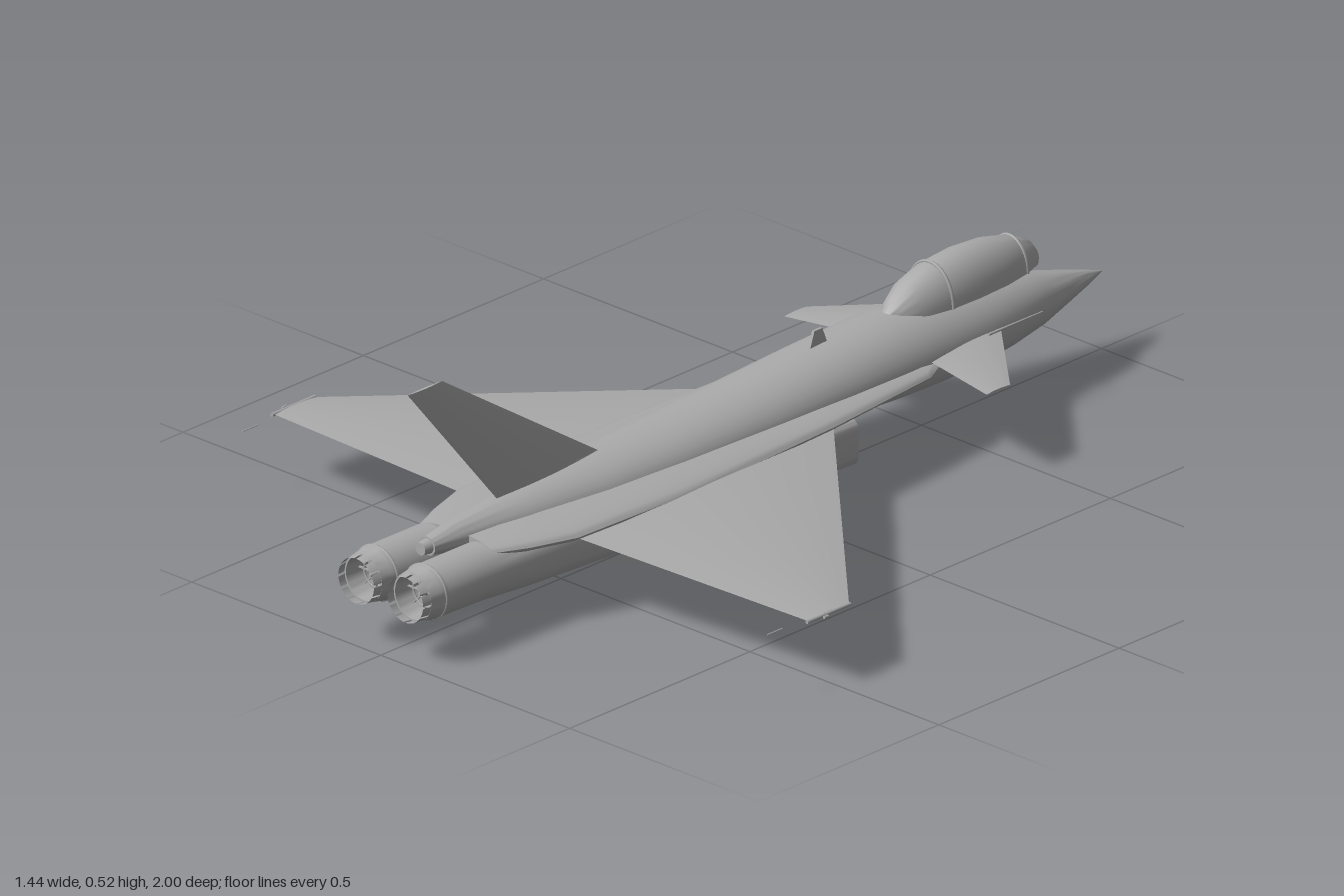
import * as THREE from 'three';
import { toCreasedNormals } from 'three/addons/utils/BufferGeometryUtils.js';

const grey = new THREE.MeshStandardMaterial({ color: 0xaaaaaa, side: THREE.DoubleSide });
grey.name = 'airframe grey';

// Skin a list of closed rings of [x, y, z] points, with flat end caps
function skin(rings, capStart = true, capEnd = true, crease = 0.6) {
  const n = rings[0].length, pos = rings.flat(2), index = [];
  for (let i = 0; i < rings.length - 1; i++) {
    for (let j = 0; j < n; j++) {
      const a = i * n + j, b = i * n + (j + 1) % n;
      index.push(a, b, a + n, b, b + n, a + n);
    }
  }
  const last = (rings.length - 1) * n;
  for (let j = 1; j < n - 1; j++) {
    if (capStart) index.push(0, j + 1, j);
    if (capEnd) index.push(last, last + j, last + j + 1);
  }
  const g = new THREE.BufferGeometry();
  g.setAttribute('position', new THREE.Float32BufferAttribute(pos, 3));
  g.setIndex(index);
  return toCreasedNormals(g, crease);
}

// Superellipse body along z. Section: [z, cx, cy, halfWidth, up, down, power]
function body(sections, capStart = true, capEnd = true) {
  const power = (v, e) => Math.sign(v) * Math.abs(v) ** e;
  return skin(sections.map(([z, cx, cy, a, up, down, p = 2]) =>
    Array.from({ length: 32 }, (_, j) => {
      const t = j / 32 * Math.PI * 2, s = power(Math.sin(t), 2 / p);
      return [cx + a * power(Math.cos(t), 2 / p), cy + s * (s > 0 ? up : down), z];
    })), capStart, capEnd);
}

// Lens-section surface spanning +x. Section: [x, y, zLeading, zTrailing, halfThickness]
function foil(sections) {
  return skin(sections.map(([x, y, z0, z1, h]) =>
    Array.from({ length: 24 }, (_, j) => {
      const t = j / 24 * Math.PI * 2, c = Math.cos(t);
      return [x, y + h * c * Math.abs(c), (z0 + z1) / 2 + Math.sin(t) * (z1 - z0) / 2];
    })));
}

// Rod between two z positions
function rod(r0, r1, x, y, z0, z1, sides = 8) {
  return new THREE.CylinderGeometry(r1, r0, z1 - z0, sides).rotateX(Math.PI / 2).translate(x, y, (z0 + z1) / 2);
}

// Thin upright blade on the centre line, outline given as [z, y]
function blade(points, thickness) {
  const shape = new THREE.Shape(points.map(([z, y]) => new THREE.Vector2(-z, y)));
  return new THREE.ExtrudeGeometry(shape, { depth: thickness, bevelEnabled: false })
    .translate(0, 0, -thickness / 2).rotateY(Math.PI / 2);
}

export function createModel() {
  const model = new THREE.Group();
  const add = (name, geometry, parent = model) => {
    const mesh = new THREE.Mesh(geometry, grey);
    mesh.name = name;
    parent.add(mesh);
    return mesh;
  };

  // Fuselage with pointed nose and tapering spine
  add('fuselage', body([
    [-1, 0, 0.163, 0.001, 0.001, 0.001], [-0.95, 0, 0.164, 0.017, 0.017, 0.016],
    [-0.88, 0, 0.166, 0.037, 0.036, 0.034], [-0.8, 0, 0.168, 0.058, 0.057, 0.055],
    [-0.7, 0, 0.17, 0.079, 0.073, 0.068], [-0.6, 0, 0.172, 0.094, 0.083, 0.076],
    [-0.48, 0, 0.174, 0.103, 0.092, 0.077], [-0.35, 0, 0.174, 0.107, 0.094, 0.07],
    [-0.2, 0, 0.174, 0.108, 0.088, 0.055], [0, 0, 0.174, 0.106, 0.076, 0.05],
    [0.25, 0, 0.174, 0.1, 0.067, 0.05], [0.45, 0, 0.174, 0.088, 0.061, 0.045],
    [0.65, 0, 0.176, 0.062, 0.051, 0.035], [0.8, 0, 0.182, 0.032, 0.035, 0.025],
    [0.87, 0, 0.186, 0.02, 0.02, 0.018],
  ]));
  add('tailFairing', rod(0.017, 0.013, 0, 0.187, 0.86, 0.89, 20));

  // Wide shoulder fairing that carries the wing roots
  add('shoulderFairing', body([
    [-0.6, 0, 0.18, 0.094, 0.008, 0.008], [-0.43, 0, 0.177, 0.112, 0.018, 0.018],
    [-0.39, 0, 0.175, 0.13, 0.022, 0.022], [-0.1, 0, 0.173, 0.155, 0.026, 0.028],
    [0.15, 0, 0.172, 0.165, 0.028, 0.03], [0.35, 0, 0.172, 0.17, 0.028, 0.03],
    [0.62, 0, 0.173, 0.16, 0.026, 0.028], [0.72, 0, 0.174, 0.128, 0.024, 0.026],
    [0.79, 0, 0.176, 0.098, 0.018, 0.02],
  ]));

  // Canopy and its two frames
  const canopy = [
    [-0.81, 0.015, 0.022], [-0.79, 0.032, 0.045], [-0.745, 0.048, 0.066], [-0.68, 0.059, 0.081],
    [-0.6, 0.063, 0.086], [-0.525, 0.061, 0.08], [-0.46, 0.048, 0.062], [-0.42, 0.03, 0.036], [-0.395, 0.008, 0.01],
  ];
  add('canopy', body(canopy.map(([z, w, h]) => [z, 0, 0.254, w, h, 0.004])));
  for (const [z, w, h] of [canopy[2], canopy[5]]) {
    const frame = new THREE.TorusGeometry(1, 0.05, 6, 32, Math.PI);
    add('canopyFrame', frame.scale(w, h, 0.08).translate(0, 0.254, z));
  }

  // Tail fin, dorsal fillet and aerials
  add('tailFin', foil([[0.215, 0, 0.365, 0.67, 0.008], [0.52, 0, 0.83, 0.925, 0.003]])).rotation.z = Math.PI / 2;
  add('finFillet', body([[0.38, 0, 0.225, 0.002, 0.008, 0.01], [0.46, 0, 0.225, 0.007, 0.018, 0.01],
    [0.56, 0, 0.22, 0.007, 0.018, 0.01], [0.72, 0, 0.205, 0.003, 0.01, 0.01]]));
  add('dorsalAerial', blade([[-0.24, 0.25], [-0.185, 0.25], [-0.2, 0.294], [-0.222, 0.294]], 0.006));
  add('ventralAerial', blade([[-0.125, 0.06], [-0.1, 0], [-0.082, 0], [-0.052, 0.06]], 0.005));

  // Everything that comes in pairs
  for (const side of [1, -1]) {
    const half = new THREE.Group();
    half.name = side > 0 ? 'leftHalf' : 'rightHalf';
    half.scale.x = side;
    model.add(half);

    // Wing, tip pod, static wick and underside rails
    add('wing', foil([[0.1, 0.162, -0.15, 0.604, 0.017], [0.15, 0.16, -0.1, 0.6, 0.015],
      [0.705, 0.145, 0.44, 0.555, 0.003]]), half);
    add('wingTipPod', rod(0.004, 0.004, 0.708, 0.145, 0.44, 0.56), half);
    add('tipLight', rod(0.003, 0.003, 0.717, 0.145, 0.51, 0.522), half);
    add('staticWick', rod(0.0015, 0.0015, 0.695, 0.145, 0.615, 0.655, 5), half);
    for (const [x, z] of [[0.25, 0.24], [0.355, 0.3], [0.495, 0.38]]) {
      const rail = new THREE.BoxGeometry(0.008, 0.014, 0.17);
      add('wingRail', rail.translate(x, 0.157 - x * 0.03, z), half);
    }

    // Canard and air data probe
    add('canard', foil([[0.08, 0.19, -0.635, -0.423, 0.006], [0.268, 0.178, -0.465, -0.4, 0.002]]), half);
    add('probe', rod(0.0015, 0.003, 0.101, 0.195, -0.73, -0.58), half);

    // Engine duct: squared intake blending to a round tail
    add('engineDuct', body([
      [-0.19, 0.067, 0.102, 0.063, 0.05, 0.052, 5], [0.1, 0.067, 0.11, 0.064, 0.052, 0.052, 4.5],
      [0.4, 0.067, 0.118, 0.063, 0.054, 0.052, 3.5], [0.7, 0.066, 0.128, 0.059, 0.056, 0.056, 2.4],
      [0.82, 0.065, 0.133, 0.056, 0.056, 0.056, 2], [0.94, 0.065, 0.135, 0.055, 0.055, 0.055, 2],
    ], false, false), half);
    add('intakeLining', body([
      [-0.19, 0.067, 0.102, 0.063, 0.05, 0.052, 5], [-0.185, 0.067, 0.102, 0.058, 0.045, 0.047, 5],
      [0.1, 0.067, 0.11, 0.05, 0.04, 0.04, 2],
    ], false, true), half);

    // Nozzle with petals, flame holder rings and spokes
    const nozzle = new THREE.Group();
    nozzle.name = 'nozzle';
    nozzle.position.set(0.065, 0.135, 0);
    half.add(nozzle);
    const profile = [[0.055, 0.935], [0.056, 0.945], [0.053, 0.955], [0.05, 0.98],
      [0.046, 0.98], [0.044, 0.94], [0.04, 0.92], [0, 0.92]].map(p => new THREE.Vector2(...p));
    add('nozzleShell', toCreasedNormals(new THREE.LatheGeometry(profile, 36).rotateX(Math.PI / 2), 0.6), nozzle);
    add('nozzleBand', new THREE.TorusGeometry(0.055, 0.003, 6, 36).translate(0, 0, 0.943), nozzle);
    for (let i = 0; i < 12; i++) {
      const petal = new THREE.CylinderGeometry(0.047, 0.05, 0.024, 4, 1, true, i * Math.PI / 6, Math.PI / 7.5);
      add('nozzlePetal', petal.rotateX(Math.PI / 2).translate(0, 0, 0.988), nozzle);
    }
    for (const r of [0.016, 0.031]) {
      add('flameRing', new THREE.TorusGeometry(r, 0.0025, 6, 28).translate(0, 0, 0.945), nozzle);
    }
    for (let i = 0; i < 8; i++) {
      const spoke = new THREE.BoxGeometry(0.036, 0.003, 0.004).translate(0.026, 0, 0.945);
      add('flameSpoke', spoke.rotateZ(i * Math.PI / 4), nozzle);
    }
    add('exhaustCone', rod(0.014, 0.003, 0, 0, 0.92, 0.962, 20), nozzle);
  }
  return model;
}
